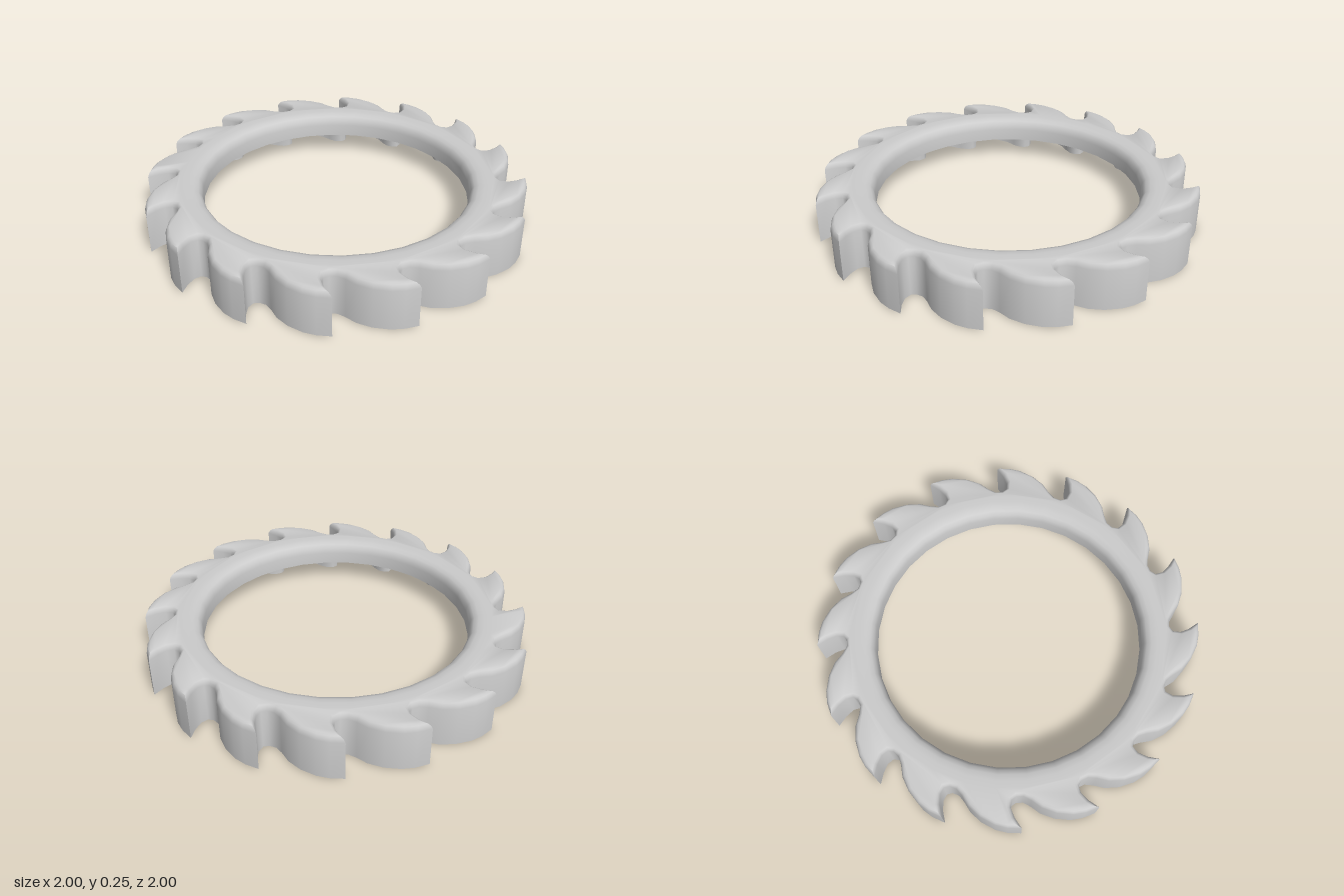
import * as THREE from 'three';
import { mergeGeometries, toCreasedNormals } from 'three/addons/utils/BufferGeometryUtils.js';

const TEETH = 16;
const STEP = 360 / TEETH;
const FIRST_TIP = 14.4;
const RING_SIDES = 32;
const CAP_RADIUS = 0.815;
const HEIGHT = 0.245;

// One hooked tooth as [degrees after its tip, radius]: curved back, gullet, undercut face
const TOOTH = [
  [0, 1.006], [4, 1.002], [7.5, 0.99], [12, 0.96], [16, 0.92], [18.8, 0.877],
  [21.2, 0.853], [23.6, 0.852], [25.2, 0.868], [25.5, 0.905], [24.4, 0.953],
];

// Wall rows as [inset, height], ending in a rounded top edge
const WALL = [[0, 0], [0, 0.212], [0.004, 0.228], [0.011, 0.24], [0.02, HEIGHT]];

// Inner lip, from the flat top down to the open inner edge
const LIP = [
  [CAP_RADIUS, HEIGHT], [0.78, HEIGHT], [0.75, 0.242], [0.727, 0.233],
  [0.712, 0.214], [0.705, 0.185], [0.704, 0.12],
];

function toothOutline() {
  const points = [];
  for (let k = 0; k < TEETH; k++) {
    for (const [deg, r] of TOOTH) {
      const a = THREE.MathUtils.degToRad(FIRST_TIP + k * STEP + deg);
      points.push(new THREE.Vector2(r * Math.cos(a), r * Math.sin(a)));
    }
  }
  return points;
}

// Moves a closed outline inwards by a mitred distance
function inset(points, distance) {
  const n = points.length;
  const inward = (a, b) => new THREE.Vector2(a.y - b.y, b.x - a.x).normalize();
  return points.map((p, i) => {
    const n1 = inward(points[(i + n - 1) % n], p);
    const n2 = inward(p, points[(i + 1) % n]);
    const miter = n1.clone().add(n2);
    return p.clone().addScaledVector(miter, distance / (1 + n1.dot(n2)));
  });
}

function wallGeometry(outline) {
  const n = outline.length;
  const position = [];
  const index = [];
  WALL.forEach(([d, y], row) => {
    inset(outline, d).forEach((p) => position.push(p.x, y, p.y));
    if (row === 0) return;
    for (let i = 0; i < n; i++) {
      const a = (row - 1) * n + i;
      const b = (row - 1) * n + ((i + 1) % n);
      index.push(a, a + n, b, b, a + n, b + n);
    }
  });
  const geometry = new THREE.BufferGeometry();
  geometry.setAttribute('position', new THREE.Float32BufferAttribute(position, 3));
  geometry.setIndex(index);
  return geometry;
}

function capGeometry(outline) {
  const edge = inset(outline, WALL[WALL.length - 1][0]);
  const shape = new THREE.Shape(edge.map((p) => new THREE.Vector2(p.x, -p.y)));
  const hole = [];
  for (let i = 0; i < RING_SIDES; i++) {
    const a = (i / RING_SIDES) * Math.PI * 2;
    hole.push(new THREE.Vector2(CAP_RADIUS * Math.cos(a), CAP_RADIUS * Math.sin(a)));
  }
  shape.holes.push(new THREE.Path(hole));
  return new THREE.ShapeGeometry(shape).rotateX(-Math.PI / 2).translate(0, HEIGHT, 0);
}

export function createModel() {
  const outline = toothOutline();
  const lip = new THREE.LatheGeometry(LIP.map(([r, y]) => new THREE.Vector2(r, y)), RING_SIDES);

  // Join toothed wall, flat top and inner lip into one open-bottomed shell
  const parts = [wallGeometry(outline), capGeometry(outline), lip].map((g) => {
    const flat = g.toNonIndexed();
    for (const name of Object.keys(flat.attributes)) {
      if (name !== 'position') flat.deleteAttribute(name);
    }
    return flat;
  });
  // Enlarged while smoothing so that close vertices stay distinct
  const enlarged = mergeGeometries(parts).scale(100, 100, 100);
  const geometry = toCreasedNormals(enlarged, 0.95).scale(0.01, 0.01, 0.01);

  const material = new THREE.MeshStandardMaterial({ color: 0xcccccc, side: THREE.DoubleSide });
  const ring = new THREE.Mesh(geometry, material);
  ring.name = 'toothedRingShell';

  const group = new THREE.Group();
  group.name = 'toothedRing';
  group.add(ring);
  return group;
}
